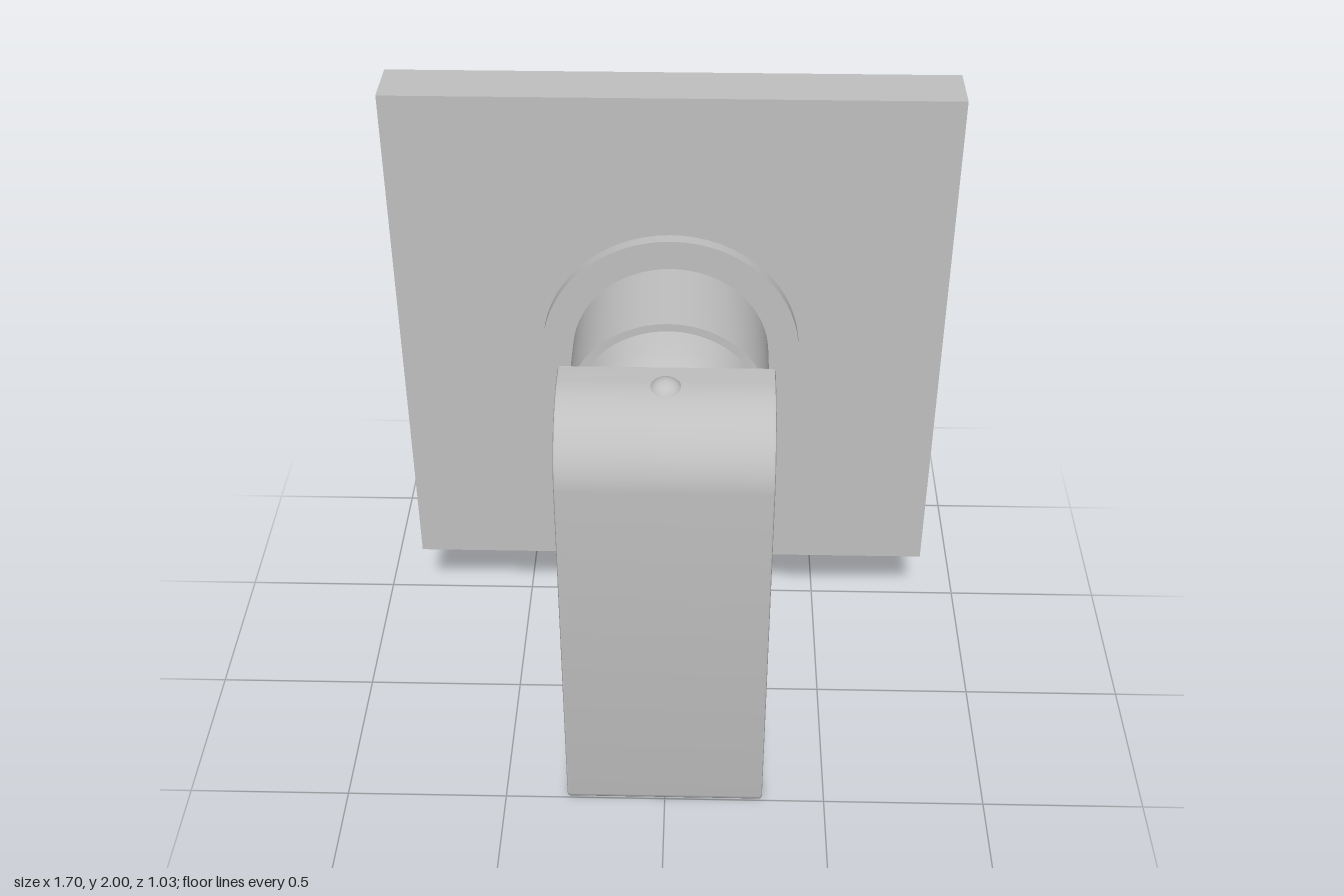
import * as THREE from 'three';
import { toCreasedNormals } from 'three/addons/utils/BufferGeometryUtils.js';

const AXIS_Y = 1.15; // height of the valve axis
const HALF = 0.305; // half width of the handle, radius of the body

export function createModel() {
  const group = new THREE.Group();
  const metal = new THREE.MeshStandardMaterial({ color: 0xc0c0c0 });
  metal.name = 'satin metal';

  const add = (name, geometry, x = 0, y = 0, z = 0) => {
    const mesh = new THREE.Mesh(geometry, metal);
    mesh.name = name;
    mesh.position.set(x, y, z);
    group.add(mesh);
    return mesh;
  };

  // Turned part around the valve axis, from [radius, z] pairs
  const turned = (name, points) => {
    const g = new THREE.LatheGeometry(points.map(([r, z]) => new THREE.Vector2(r, z)), 64);
    g.rotateX(Math.PI / 2);
    add(name, toCreasedNormals(g, 0.5), 0, AXIS_Y, 0);
  };

  // Wall plate
  add('wallPlate', new THREE.BoxGeometry(1.7, 1.7, 0.172), 0, 1.15, -0.43);

  // Flange, cartridge sleeve and domed neck
  turned('flange', [[0, -0.35], [0.4, -0.35], [0.4, -0.305], [0, -0.305]]);
  turned('sleeve', [[0, -0.31], [HALF, -0.31], [HALF, 0], [0, 0]]);
  turned('neck', [[0.282, -0.01], [0.28, 0], [0.268, 0.06], [0.253, 0.125],
    [0.242, 0.15], [0.222, 0.178], [0.18, 0.205], [0.1, 0.222], [0, 0.226]]);

  // Lever: side profile in (z, y), extruded across the width
  const bevel = 0.008;
  const side = new THREE.Shape();
  side.moveTo(0.08, 1.14);
  side.lineTo(0.08, 1.15);
  side.lineTo(0.222, 1.455);
  side.lineTo(0.295, 1.455);
  side.absarc(0.295, 1.235, 0.22, Math.PI / 2, 0, true);
  side.lineTo(0.515, 0.04);
  side.absarc(0.475, 0.04, 0.04, 0, -Math.PI, true);
  side.lineTo(0.435, 1.14);
  side.closePath();
  const lever = new THREE.ExtrudeGeometry(side, {
    depth: 2 * (HALF - bevel), curveSegments: 16,
    bevelEnabled: true, bevelThickness: bevel, bevelSize: bevel, bevelOffset: -bevel, bevelSegments: 2,
  });
  lever.translate(0, 0, -(HALF - bevel));
  lever.rotateY(-Math.PI / 2);
  add('lever', toCreasedNormals(lever, 0.6));

  // Rounded hub under the lever, flaring with a fillet into its back
  const fillet = 0.15;
  const rings = [[0.08, HALF]];
  for (let i = 0; i <= 12; i++) {
    const a = (i / 12) * Math.PI / 2;
    rings.push([0.285 + fillet * Math.sin(a), HALF + fillet * (1 - Math.cos(a))]);
  }
  rings.push([0.445, HALF + fillet]);
  const steps = 32, cols = steps + 3;
  const positions = [], indices = [];
  rings.forEach(([z, r], i) => {
    positions.push(-HALF, AXIS_Y, z);
    for (let j = 0; j <= steps; j++) {
      const x = HALF * Math.sin((j / steps - 0.5) * Math.PI);
      positions.push(x, AXIS_Y - Math.sqrt(Math.max(0, r * r - x * x)), z);
    }
    positions.push(HALF, AXIS_Y, z);
    if (i === 0) return;
    for (let j = 0; j < cols - 1; j++) {
      const a = (i - 1) * cols + j, c = a + cols;
      indices.push(a, a + 1, c, a + 1, c + 1, c);
    }
  });
  const hub = new THREE.BufferGeometry();
  hub.setAttribute('position', new THREE.Float32BufferAttribute(positions, 3));
  hub.setIndex(indices);
  add('leverHub', toCreasedNormals(hub, 0.45));

  // Half-round back face of the hub
  const back = new THREE.CircleGeometry(HALF, 32, Math.PI, Math.PI);
  back.rotateY(Math.PI);
  add('hubBack', back, 0, AXIS_Y, 0.08);

  // Small domed button on top of the lever
  add('button', new THREE.SphereGeometry(0.052, 32, 20), 0, 1.424, 0.31);

  return group;
}
